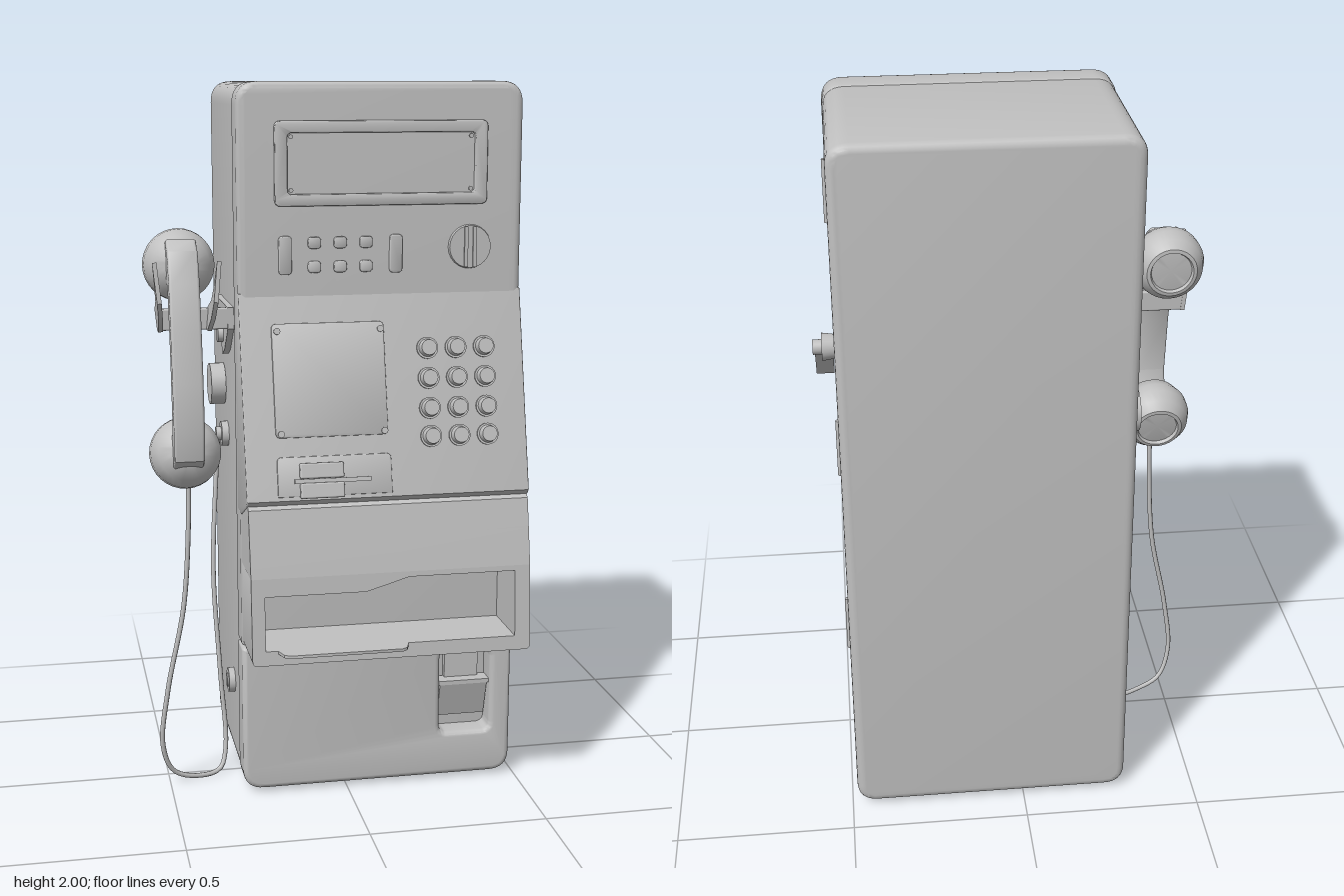
import * as THREE from 'three';
import { toCreasedNormals } from 'three/addons/utils/BufferGeometryUtils.js';
import { RoundedBoxGeometry } from 'three/addons/geometries/RoundedBoxGeometry.js';

const casing = new THREE.MeshStandardMaterial({ color: 0xc0c0c0 });
casing.name = 'grey casing';

function add(parent, name, geo, x = 0, y = 0, z = 0) {
  const m = new THREE.Mesh(geo, casing);
  m.name = name;
  m.position.set(x, y, z);
  parent.add(m);
  return m;
}

// Rounded rectangle with separate top and bottom corner radii
function rounded(x0, x1, y0, y1, rt, rb = rt, S = THREE.Shape) {
  const s = new S();
  s.moveTo(x0 + rb, y0);
  s.lineTo(x1 - rb, y0);
  s.quadraticCurveTo(x1, y0, x1, y0 + rb);
  s.lineTo(x1, y1 - rt);
  s.quadraticCurveTo(x1, y1, x1 - rt, y1);
  s.lineTo(x0 + rt, y1);
  s.quadraticCurveTo(x0, y1, x0, y1 - rt);
  s.lineTo(x0, y0 + rb);
  s.quadraticCurveTo(x0, y0, x0 + rb, y0);
  return s;
}

// Extrude between two z planes, keeping the outline size
function slab(shape, z0, z1, bevel = 0) {
  const g = new THREE.ExtrudeGeometry(shape, {
    depth: z1 - z0 - 2 * bevel, bevelEnabled: bevel > 0, bevelSize: bevel,
    bevelThickness: bevel, bevelOffset: -bevel, bevelSegments: 4, curveSegments: 8,
  });
  g.translate(0, 0, z0 + bevel);
  return toCreasedNormals(g, 0.6);
}

// Extrude a [z, y] profile sideways between two x planes
function sideways(points, x0, x1, bevel = 0) {
  const shape = new THREE.Shape(points.map(([z, y]) => new THREE.Vector2(z, y)));
  return slab(shape, 0, x1 - x0, bevel).rotateY(-Math.PI / 2).translate(x1, 0, 0);
}

const disc = (r, h, axis, r2 = r) => {
  const g = new THREE.CylinderGeometry(r2, r, h, 24);
  return axis === 'x' ? g.rotateZ(Math.PI / 2) : axis === 'z' ? g.rotateX(Math.PI / 2) : g;
};

function buildCabinet(root) {
  const g = new THREE.Group();
  g.name = 'cabinet';
  root.add(g);
  add(g, 'backCase', slab(rounded(-0.298, 0.485, 0.012, 1.997, 0.06), -0.41, 0.11, 0.022));
  add(g, 'upperPanel', slab(rounded(-0.3, 0.487, 0.443, 2, 0.06, 0.01), 0.075, 0.18, 0.018));
  const door = rounded(-0.3, 0.487, 0.01, 0.437, 0.01, 0.06);
  door.holes.push(rounded(0.275, 0.425, 0.14, 0.39, 0.025, 0.025, THREE.Path));
  add(g, 'lowerDoor', slab(door, 0.075, 0.18, 0.015));
  // Coin return
  const flap = add(g, 'returnFlap', new THREE.BoxGeometry(0.14, 0.11, 0.012), 0.35, 0.23, 0.14);
  flap.rotation.x = 0.3;
  add(g, 'returnBar', new THREE.BoxGeometry(0.15, 0.012, 0.05), 0.35, 0.287, 0.14);
  add(g, 'returnHood', new THREE.BoxGeometry(0.1, 0.08, 0.02), 0.35, 0.33, 0.12);
  // Hinges down the right edge
  for (const y of [1.71, 0.92, 0.305])
    add(g, 'hinge', new THREE.CylinderGeometry(0.008, 0.008, 0.18, 12), 0.488, y, 0.09);
  // Sloping face and the hooded tray beneath it
  add(g, 'slopingFace', sideways([[0.12, 1.45], [0.178, 1.44], [0.31, 0.895], [0.3, 0.882],
    [0.18, 0.83], [0.12, 0.83]], -0.3, 0.487, 0.004));
  add(g, 'trayHood', sideways([[0.12, 0.69], [0.345, 0.69], [0.325, 0.79], [0.308, 0.872], [0.295, 0.882],
    [0.18, 0.835], [0.12, 0.83]], -0.297, 0.484));
  const tray = rounded(-0.297, 0.484, 0.45, 0.69, 0.001, 0.015);
  tray.holes.push(new THREE.Path([[-0.26, 0.49], [0.44, 0.49], [0.44, 0.675], [0.14, 0.675], [0.09, 0.66],
    [0.02, 0.64], [-0.26, 0.64]].map(p => new THREE.Vector2(...p))));
  const trayGeo = new THREE.ExtrudeGeometry(tray, { depth: 1, bevelEnabled: false });
  const p = trayGeo.attributes.position;
  for (let i = 0; i < p.count; i++) { // lean the front of the tray
    const front = 0.363 - 0.018 * (p.getY(i) - 0.45) / 0.24;
    p.setZ(i, p.getZ(i) > 0.5 ? front : 0.15);
  }
  add(g, 'tray', toCreasedNormals(trayGeo, 0.6));
  const lip = new THREE.Shape([[-0.23, -0.35], [0.14, -0.35], [0.125, -0.395], [0.11, -0.405],
    [-0.2, -0.405], [-0.215, -0.395]].map(q => new THREE.Vector2(...q)));
  add(g, 'trayLip', slab(lip, 0, 0.008).rotateX(-Math.PI / 2), 0, 0.482, 0);
}

function buildUpperFace(root) {
  const g = new THREE.Group();
  g.name = 'upperFace';
  root.add(g);
  const frame = rounded(-0.2, 0.385, 1.673, 1.898, 0.018);
  frame.holes.push(rounded(-0.165, 0.35, 1.705, 1.866, 0.012, 0.012, THREE.Path));
  add(g, 'displayFrame', slab(frame, 0.17, 0.191, 0.004));
  for (const x of [-0.155, 0.34]) for (const y of [1.715, 1.856])
    add(g, 'screw', disc(0.006, 0.006, 'z'), x, y, 0.182);
  for (const x of [-0.172, 0.133])
    add(g, 'indicatorBar', slab(rounded(x - 0.018, x + 0.018, 1.49, 1.594, 0.012), 0.17, 0.186, 0.003));
  for (const x of [-0.092, -0.021, 0.05]) for (const y of [1.51, 1.575])
    add(g, 'selectButton', slab(rounded(x - 0.018, x + 0.018, y - 0.016, y + 0.016, 0.012), 0.17, 0.187, 0.003));
  // Coin slot
  add(g, 'coinPlate', disc(0.063, 0.02, 'z', 0.058), 0.34, 1.557, 0.179);
  for (const s of [-1, 1])
    add(g, 'coinGuide', new THREE.BoxGeometry(0.01, 0.11, 0.012), 0.34 + s * 0.012, 1.557, 0.188);
}

function buildSlopeControls(root) {
  // Local plane lying on the slope
  const tilt = Math.atan2(0.13, 0.54), k = 1 / Math.cos(tilt);
  const g = new THREE.Group();
  g.name = 'slopeControls';
  g.position.set(0, 1.43, 0.181);
  g.rotation.x = -tilt;
  root.add(g);
  const ly = y => (y - 1.43) * k;
  add(g, 'noticePlate', slab(rounded(-0.215, 0.095, ly(1.06), ly(1.36), 0.015), -0.01, 0.005, 0.002));
  for (const x of [-0.2, 0.085]) for (const y of [1.07, 1.34])
    add(g, 'screw', disc(0.009, 0.008, 'z'), x, ly(y), 0.005);
  // Keypad
  for (const x of [0.215, 0.295, 0.375]) for (const y of [1.285, 1.205, 1.125, 1.05]) {
    add(g, 'keyCollar', disc(0.03, 0.008, 'z'), x, ly(y), 0.002);
    add(g, 'key', disc(0.026, 0.03, 'z', 0.021), x, ly(y), 0.012);
  }
  // Card reader
  add(g, 'cardPlate', slab(rounded(-0.215, 0.1, ly(0.905), ly(1.01), 0.015, 0.002), -0.01, 0.005, 0.002));
  for (const y of [0.92, 0.972])
    add(g, 'cardGuide', new RoundedBoxGeometry(0.12, 0.042, 0.025, 2, 0.005), -0.095, ly(y), 0.01);
  add(g, 'cardSlot', new THREE.BoxGeometry(0.21, 0.012, 0.014), -0.065, ly(0.945), 0.008);
}

function buildLock(root) {
  const g = new THREE.Group();
  g.name = 'sideLock';
  g.position.set(0, 1.405, -0.25);
  root.add(g);
  add(g, 'lockCollar', disc(0.037, 0.035, 'x', 0.032), 0.5, 0, 0);
  add(g, 'lockPin', disc(0.02, 0.06, 'x'), 0.511, 0, 0);
  const lever = add(g, 'lever', new THREE.BoxGeometry(0.048, 0.16, 0.007), 0.512, -0.062, 0.052);
  lever.rotation.x = -0.7;
}

function buildCradle(root) {
  const g = new THREE.Group();
  g.name = 'cradle';
  root.add(g);
  const plate = [[-0.21, 1.39], [-0.23, 1.35], [-0.18, 1.31], [-0.1, 1.3], [-0.06, 1.24], [-0.01, 1.26],
    [0.07, 1.33], [0.07, 1.39]];
  add(g, 'wallPlate', sideways(plate, -0.315, -0.298));
  for (const [z, y] of [[-0.18, 1.35], [-0.05, 1.3]])
    add(g, 'bolt', disc(0.024, 0.025, 'x'), -0.318, y, z);
  add(g, 'arm', new RoundedBoxGeometry(0.2, 0.06, 0.018, 2, 0.005), -0.405, 1.36, 0.06);
  // Two upturned prongs hold the handset neck
  const prong = [[0.05, 1.33], [0.09, 1.33], [0.15, 1.37], [0.18, 1.42], [0.17, 1.53], [0.145, 1.46],
    [0.12, 1.42], [0.05, 1.39]];
  for (const [x, lean] of [[-0.505, 0.1], [-0.365, -0.1]]) {
    const m = add(g, 'prong', sideways(prong, -0.006, 0.006).translate(0, -1.36, 0), x, 1.36, 0);
    m.rotation.z = lean;
  }
}

function buildHandset(root) {
  const g = new THREE.Group();
  g.name = 'handset';
  g.position.set(-0.44, 1.247, 0.045);
  g.rotation.x = -0.17;
  root.add(g);
  // Domed cups facing backwards, each with a sunken disc
  const profile = [[0, 0.085], [0.045, 0.077], [0.08, 0.05], [0.098, 0.01], [0.1, -0.02], [0.09, -0.055],
    [0.07, -0.078], [0.06, -0.08], [0.056, -0.07], [0, -0.066]].reverse().map(q => new THREE.Vector2(...q));
  for (const [name, y, tilt] of [['earpiece', 0.26, 0.1], ['mouthpiece', -0.26, -0.1]]) {
    const cup = add(g, name, toCreasedNormals(new THREE.LatheGeometry(profile, 32).rotateX(Math.PI / 2), 0.6), 0, y, 0);
    cup.rotation.x = tilt;
  }
  // Bowed grip
  const grip = [[0.02, 0.32], [0.07, 0.325], [0.11, 0.29], [0.135, 0.2], [0.142, 0.07], [0.142, -0.07],
    [0.135, -0.2], [0.11, -0.28], [0.07, -0.3], [0.02, -0.29], [0.05, -0.23], [0.085, -0.17], [0.092, 0],
    [0.085, 0.17], [0.05, 0.23]];
  add(g, 'grip', sideways(grip, -0.042, 0.042, 0.008));
}

function buildCord(root) {
  const g = new THREE.Group();
  g.name = 'cordFittings';
  root.add(g);
  add(g, 'wallKnob', disc(0.06, 0.042, 'x'), -0.32, 1.135, -0.17);
  add(g, 'cordSocket', disc(0.036, 0.02, 'x'), -0.308, 1.0, -0.1);
  add(g, 'cordBoss', disc(0.02, 0.03, 'x'), -0.318, 1.0, -0.1);
  add(g, 'lowerLock', disc(0.036, 0.018, 'x'), -0.307, 0.27, -0.03);
  add(g, 'lowerLockPin', disc(0.02, 0.024, 'x'), -0.308, 0.27, -0.03);
  const path = [[-0.435, 0.93, 0.1], [-0.437, 0.8, 0.1], [-0.455, 0.55, 0.1], [-0.505, 0.3, 0.1],
    [-0.522, 0.13, 0.09], [-0.49, 0.04, 0.07], [-0.42, 0.01, 0.05], [-0.35, 0.014, 0.02], [-0.33, 0.07, 0],
    [-0.34, 0.3, -0.02], [-0.352, 0.6, -0.05], [-0.335, 0.88, -0.09], [-0.325, 1, -0.1]];
  const curve = new THREE.CatmullRomCurve3(path.map(q => new THREE.Vector3(...q)));
  add(g, 'cord', new THREE.TubeGeometry(curve, 120, 0.007, 8));
}

export function createModel() {
  const root = new THREE.Group();
  root.name = 'payphone';
  [buildCabinet, buildUpperFace, buildSlopeControls, buildLock, buildCradle, buildHandset, buildCord]
    .forEach(build => build(root));
  return root;
}
